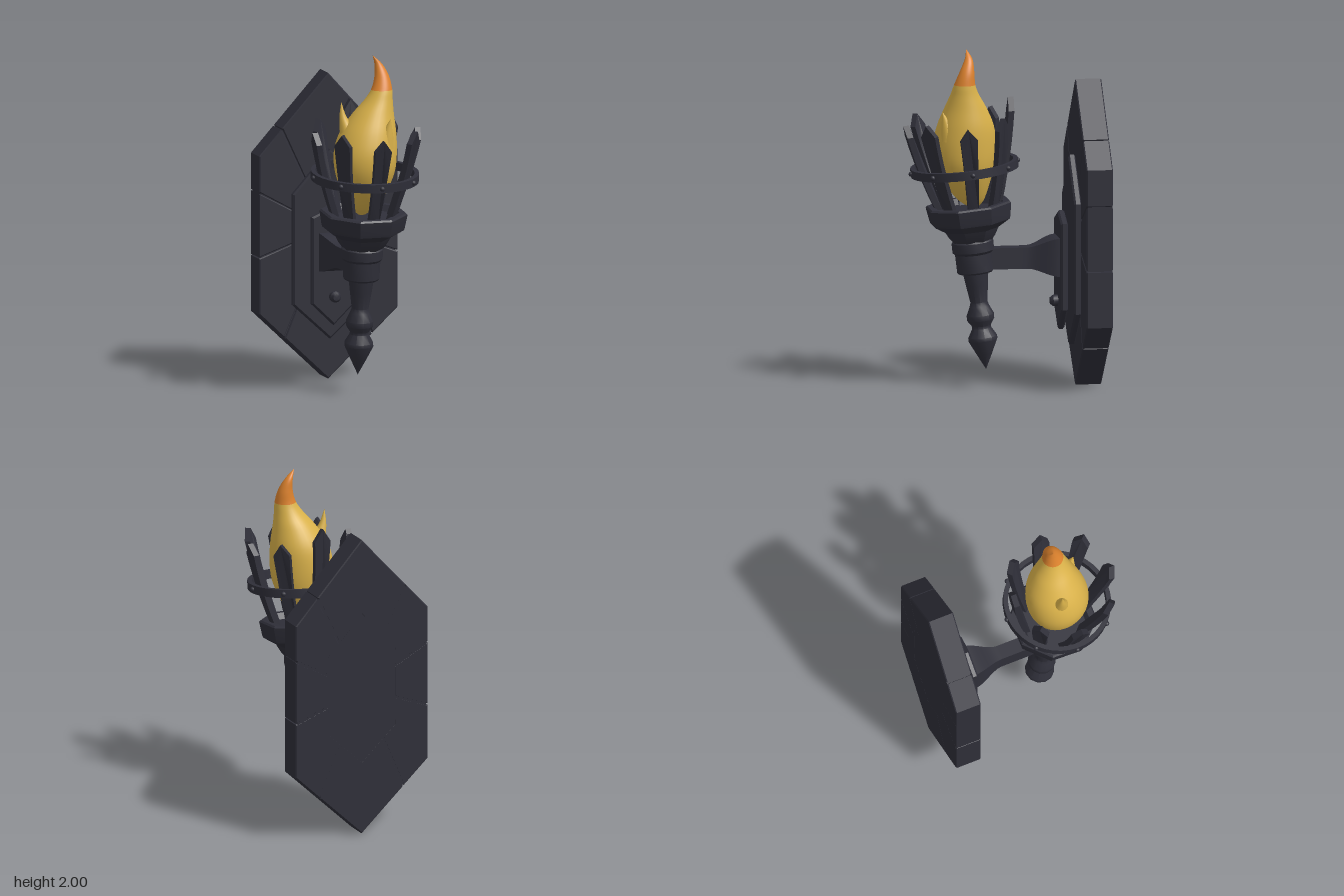
import * as THREE from 'three';
import { toCreasedNormals } from 'three/addons/utils/BufferGeometryUtils.js';

const iron = new THREE.MeshStandardMaterial({ color: 0x2f2f39 });
iron.name = 'dark iron';
const yellow = new THREE.MeshStandardMaterial({ color: 0xdab24a });
yellow.name = 'flame yellow';
const orange = new THREE.MeshStandardMaterial({ color: 0xde832e });
orange.name = 'flame orange';

function add(parent, name, geometry, material = iron) {
  const mesh = new THREE.Mesh(geometry, material);
  mesh.name = name;
  parent.add(mesh);
  return mesh;
}

// Upright plate from an outline, with bevelled edges, between z0 and z1
function plate(points, z0, z1, bevel) {
  const shape = new THREE.Shape(points.map(([x, y]) => new THREE.Vector2(x, y)));
  const geo = new THREE.ExtrudeGeometry(shape, {
    depth: z1 - z0 - 2 * bevel, bevelEnabled: bevel > 0, bevelSize: bevel,
    bevelThickness: bevel, bevelOffset: -bevel, bevelSegments: 1,
  });
  return geo.translate(0, 0, z0 + bevel);
}

// Six-sided outline, pointed at the bottom and top
const hex = (w, y0, y1, y2, y3) => [[0, y0], [w, y1], [w, y2], [0, y3], [-w, y2], [-w, y1]];

function lathe(profile, sides, phase = 0, crease = 0.6) {
  const pts = profile.map(([r, y]) => new THREE.Vector2(r, y));
  return toCreasedNormals(new THREE.LatheGeometry(pts, sides, phase), crease);
}

// Smooth tapering tongue through [x, y, z, radius] points, from u0 to u1 of the path
function tongue(path, u0 = 0, u1 = 1, rows = 24, sides = 24) {
  const centre = new THREE.CatmullRomCurve3(path.map((p) => new THREE.Vector3(p[0], p[1], p[2])));
  const radius = new THREE.CatmullRomCurve3(path.map((p) => new THREE.Vector3(p[3], p[1], 0)));
  const pos = [], index = [];
  for (let i = 0; i <= rows; i++) {
    const u = u0 + (u1 - u0) * i / rows;
    const c = centre.getPoint(u), r = Math.max(radius.getPoint(u).x, 0.001);
    for (let j = 0; j < sides; j++) {
      const a = j / sides * Math.PI * 2;
      pos.push(c.x + r * Math.sin(a), c.y, c.z + r * Math.cos(a));
      if (i === rows) continue;
      const k = i * sides + j, n = i * sides + (j + 1) % sides;
      index.push(k, n, n + sides, k, n + sides, k + sides);
    }
  }
  const geo = new THREE.BufferGeometry();
  geo.setAttribute('position', new THREE.Float32BufferAttribute(pos, 3));
  geo.setIndex(index);
  geo.computeVertexNormals();
  return geo;
}

// Pointed slat, leaning out from the cup and bending upright
function slatGeometry(base, top) {
  const half = [[0.03, 0], [0.034, 0.2], [0.038, 0.4], [0.042, 0.6], [0.046, 0.75], [0.05, 0.88]];
  const outline = [...half, [0, 1], ...half.map(([x, u]) => [-x, u]).reverse()];
  const geo = plate(outline, -0.017, 0.017, 0);
  const p = geo.attributes.position;
  for (let i = 0; i < p.count; i++) {
    const u = p.getY(i);
    p.setXYZ(i, p.getX(i), base + u * (top - base), p.getZ(i) + 0.165 + 0.15 * u * (1.4 - 0.4 * u));
  }
  return toCreasedNormals(geo, 0.4);
}

function buildWallPlate(model) {
  const wall = new THREE.Group();
  wall.name = 'wallPlate';
  model.add(wall);
  add(wall, 'slabCore', plate(hex(0.415, 0.012, 0.405, 1.325, 1.788), -0.5745, -0.43, 0));

  // Border stones, cut with thin joints
  const right = [
    [[0.425, 0.735], [0.425, 1.11]],
    [[0.425, 1.118], [0.425, 1.33], [0.289, 1.481]],
    [[0.272, 0.256], [0.425, 0.4], [0.425, 0.727]],
  ];
  const caps = [
    [[0.283, 1.487], [0, 1.8], [-0.283, 1.487]],
    [[-0.266, 0.25], [0, 0], [0.266, 0.25]],
  ];
  const left = right.map((s) => s.map(([x, y]) => [-x, y]).reverse());
  for (const outer of [...right, ...left, ...caps]) {
    const inner = outer.map(([x, y]) => [x * 0.5, 0.885 + (y - 0.885) * 0.5]).reverse();
    add(wall, 'borderStone', plate([...outer, ...inner], -0.575, -0.42, 0.006));
  }

  add(wall, 'backingPlate', plate(hex(0.23, 0.24, 0.45, 1.1, 1.355), -0.425, -0.38, 0.01));
  add(wall, 'mountPlate', plate(hex(0.135, 0.33, 0.46, 0.97, 1.03), -0.358, -0.317, 0.01));
  const rivet = add(wall, 'mountRivet', lathe([[0.033, 0], [0.033, 0.028], [0.02, 0.045], [0, 0.048]], 12));
  rivet.rotation.x = Math.PI / 2;
  rivet.position.set(0, 0.5, -0.318);

  // Arm flaring towards the wall
  const arm = new THREE.BoxGeometry(1, 1, 0.44, 1, 1, 22).translate(0, 0, -0.1);
  const p = arm.attributes.position;
  for (let i = 0; i < p.count; i++) {
    const k = THREE.MathUtils.smoothstep(-p.getZ(i), 0.13, 0.32);
    p.setX(i, p.getX(i) * (0.086 + 0.104 * k));
    p.setY(i, 0.76 + 0.005 * k + p.getY(i) * (0.125 + 0.1 * k));
  }
  add(wall, 'arm', toCreasedNormals(arm, 0.6));
}

function buildTorch(model) {
  const torch = new THREE.Group();
  torch.name = 'torch';
  torch.position.set(0, 0.106, 0.103);
  torch.rotation.x = 0.107;
  model.add(torch);

  add(torch, 'handle', lathe([
    [0, 0], [0.045, 0.09], [0.086, 0.175], [0.085, 0.195], [0.056, 0.245], [0.056, 0.26], [0.08, 0.295],
    [0.081, 0.325], [0.058, 0.375], [0.05, 0.4], [0.065, 0.5], [0.078, 0.6],
  ], 12));
  add(torch, 'collar', lathe([
    [0, 0.575], [0.1, 0.575], [0.108, 0.585], [0.11, 0.69], [0.123, 0.705], [0.123, 0.76], [0.115, 0.77], [0, 0.77],
  ], 12));
  add(torch, 'cup', lathe([
    [0, 0.765], [0.12, 0.765], [0.14, 0.79], [0.165, 0.835], [0.238, 0.88], [0.243, 0.895],
    [0.257, 0.975], [0.247, 0.985], [0.21, 0.985], [0.19, 0.95], [0, 0.95],
  ], 8, Math.PI / 8, 0.4));

  // Hoop around the slats
  add(torch, 'hoop', lathe([
    [0.315, 1.175], [0.315, 1.225], [0.288, 1.225], [0.288, 1.175], [0.315, 1.175],
  ], 40));

  // Eight slats, starting at the front
  const tops = [1.487, 1.511, 1.472, 1.495, 1.576, 1.495, 1.472, 1.511];
  tops.forEach((top, i) => {
    const spoke = new THREE.Group();
    spoke.name = 'slatWithRivet';
    spoke.rotation.y = i * Math.PI / 4;
    torch.add(spoke);
    add(spoke, 'slat', slatGeometry(0.93, top));
    add(spoke, 'hoopRivet', new THREE.SphereGeometry(0.015, 10, 8)).position.set(0, 1.2, 0.315);
  });
}

function buildFlame(model) {
  const flame = new THREE.Group();
  flame.name = 'flame';
  model.add(flame);
  const path = [
    [0, 1.06, 0.175, 0.02], [0, 1.1, 0.19, 0.07], [0, 1.2, 0.215, 0.13], [0, 1.32, 0.23, 0.174],
    [0.002, 1.43, 0.232, 0.184], [0.02, 1.55, 0.228, 0.165], [0.05, 1.66, 0.233, 0.121],
    [0.08, 1.74, 0.242, 0.083], [0.098, 1.8, 0.245, 0.062], [0.103, 1.88, 0.232, 0.042],
    [0.085, 1.95, 0.22, 0.022], [0.05, 2, 0.228, 0.001],
  ];
  const split = 8 / (path.length - 1);
  add(flame, 'flameBody', tongue(path, 0, split, 32, 32), yellow);
  add(flame, 'flameTip', tongue(path, split, 1, 16, 32), orange);

  // Small side tongues
  add(flame, 'leftLick', tongue([
    [-0.08, 1.5, 0.22, 0.065], [-0.105, 1.58, 0.215, 0.042], [-0.128, 1.65, 0.21, 0.02], [-0.138, 1.73, 0.21, 0.001],
  ], 0, 1, 12, 14), yellow);
  add(flame, 'frontLick', tongue([
    [0.085, 1.47, 0.325, 0.06], [0.095, 1.54, 0.345, 0.038], [0.102, 1.6, 0.362, 0.018], [0.108, 1.645, 0.378, 0.001],
  ], 0, 1, 12, 14), yellow);
}

export function createModel() {
  const model = new THREE.Group();
  model.name = 'wallTorch';
  buildWallPlate(model);
  buildTorch(model);
  buildFlame(model);
  return model;
}
